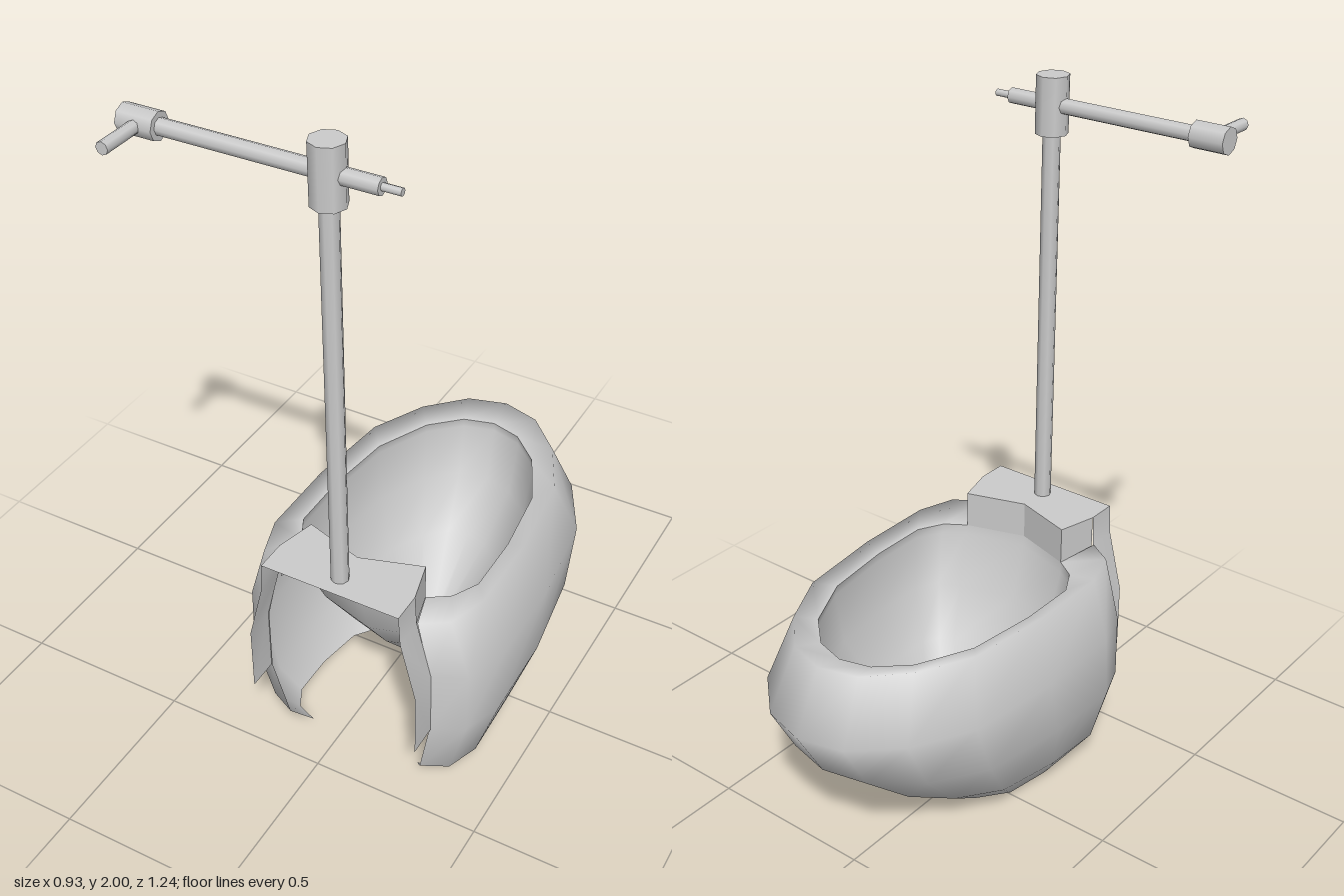
import * as THREE from 'three';
import { toCreasedNormals } from 'three/addons/utils/BufferGeometryUtils.js';

const CX = 0.075; // bowl and pipe sit slightly off the centre line
const mat = new THREE.MeshStandardMaterial({ color: 0xcccccc, side: THREE.DoubleSide });

// Skin between rows of [x, y, z] points; closed rows wrap round.
function loft(rows, closed = false, cap = false) {
  const n = rows[0].length, index = [];
  for (let r = 0; r < rows.length - 1; r++) {
    for (let i = 0; i < (closed ? n : n - 1); i++) {
      const j = (i + 1) % n, a = r * n + i, b = r * n + j;
      index.push(a, a + n, b, b, a + n, b + n);
    }
  }
  if (cap) {
    const s = (rows.length - 1) * n;
    for (let i = 1; i < n - 1; i++) index.push(s, s + i + 1, s + i);
  }
  const g = new THREE.BufferGeometry();
  g.setAttribute('position', new THREE.Float32BufferAttribute(rows.flat(2), 3));
  g.setIndex(index);
  g.computeVertexNormals();
  return g;
}

// Half outline (front tip first) mirrored to a full row from -x to +x.
const mirror = (half) => [
  ...half.slice(1).reverse().map(([x, y, z]) => [-x, y, z]),
  ...half,
];

// Half outlines as [x, z]
const OUTER = [[0, -0.62], [0.135, -0.585], [0.26, -0.47], [0.355, -0.295],
  [0.39, -0.005], [0.39, 0.265], [0.345, 0.39], [0.255, 0.44]];
const INNER = [[0, -0.445], [0.09, -0.42], [0.175, -0.34], [0.25, -0.18],
  [0.275, 0.03], [0.275, 0.21], [0.235, 0.285], [0.175, 0.325], [0, 0.38]];

// Fit an outline to a half width, a z range and heights at both ends.
function fit(outline, half, zTip, zEnd, yTip, yEnd) {
  const w = Math.max(...outline.map((p) => p[0]));
  const z0 = outline[0][1], z1 = outline[outline.length - 1][1];
  return outline.map(([x, z]) => {
    const t = (z - z0) / (z1 - z0);
    return [x * half / w, yTip + (yEnd - yTip) * t, zTip + (zEnd - zTip) * t];
  });
}

export function createModel() {
  const model = new THREE.Group();
  const add = (name, geometry, x = 0, y = 0, z = 0) => {
    const m = new THREE.Mesh(geometry, mat);
    m.name = name;
    m.position.set(x, y, z);
    model.add(m);
    return m;
  };

  // Outer shell, open at the wall side and underneath, rolling over into the rim
  const shell = [
    [0.265, -0.15, 0.36, 0, 0],
    [0.325, -0.33, 0.42, 0.12, 0.07],
    [0.385, -0.53, 0.44, 0.3, 0.26],
    [0.385, -0.62, 0.44, 0.46, 0.46],
    [0.325, -0.53, 0.44, 0.64, 0.64],
  ].map((l) => mirror(fit(OUTER, ...l)));
  shell.push(mirror(INNER.slice(0, 8).map(([x, z]) => [x, 0.62, z])));
  add('shellAndRim', loft(shell), CX);

  // Basin: closed rings shrinking to a small floor
  const basin = [
    [0.275, -0.445, 0.38, 0.62],
    [0.28, -0.45, 0.375, 0.59],
    [0.262, -0.41, 0.33, 0.43],
    [0.19, -0.29, 0.23, 0.29],
    [0.05, -0.08, 0.06, 0.09],
  ].map(([h, a, b, y]) => mirror(fit(INNER, h, a, b, y, y)).slice(1));
  add('basin', loft(basin, true, true), CX);

  // Raised ledge behind the basin: top plate and its low wall
  const edge = [[-0.205, 0.44], [-0.175, 0.325], [0, 0.38], [0.175, 0.325], [0.205, 0.44]];
  const back = [-0.205, -0.205, 0, 0.205, 0.205];
  const ledge = loft([
    edge.map(([x, z]) => [x, 0.73, z]),
    back.map((x) => [x, 0.73, 0.53]),
  ]);
  add('ledgeTop', toCreasedNormals(ledge, 0.6), CX);
  const wall = loft([0.73, 0.62].map((y) => edge.map(([x, z]) => [x, y, z])));
  add('ledgeWall', toCreasedNormals(wall, 0.6), CX);

  // Side flaps reaching back to the room wall
  const flap = [[0.205, 0.73], [0.21, 0.64], [0.255, 0.46], [0.255, 0.26]];
  for (const s of [-1, 1]) {
    const rows = [0.44, 0.53].map((z) => flap.map(([x, y]) => [s * x, y, z]));
    add(s > 0 ? 'leftFlap' : 'rightFlap', loft(s > 0 ? rows : rows.reverse()), CX);
  }

  // Flush pipe, valve and side arm
  const rod = (name, r, length, axis, x, y, z) => {
    const g = new THREE.CylinderGeometry(r, r, length, 8);
    if (axis === 'x') g.rotateZ(Math.PI / 2);
    if (axis === 'z') g.rotateX(Math.PI / 2);
    add(name, g, x, y, z);
  };
  rod('flushPipe', 0.025, 1.13, 'y', CX, 1.285, 0.47);
  rod('valve', 0.046, 0.16, 'y', CX, 1.92, 0.47);
  rod('arm', 0.022, 0.59, 'x', -0.085, 1.92, 0.47);
  rod('armTip', 0.01, 0.06, 'x', 0.23, 1.92, 0.47);
  rod('armElbow', 0.037, 0.1, 'x', -0.42, 1.92, 0.47);
  rod('wallPipe', 0.017, 0.15, 'z', -0.42, 1.92, 0.545);

  return model;
}
